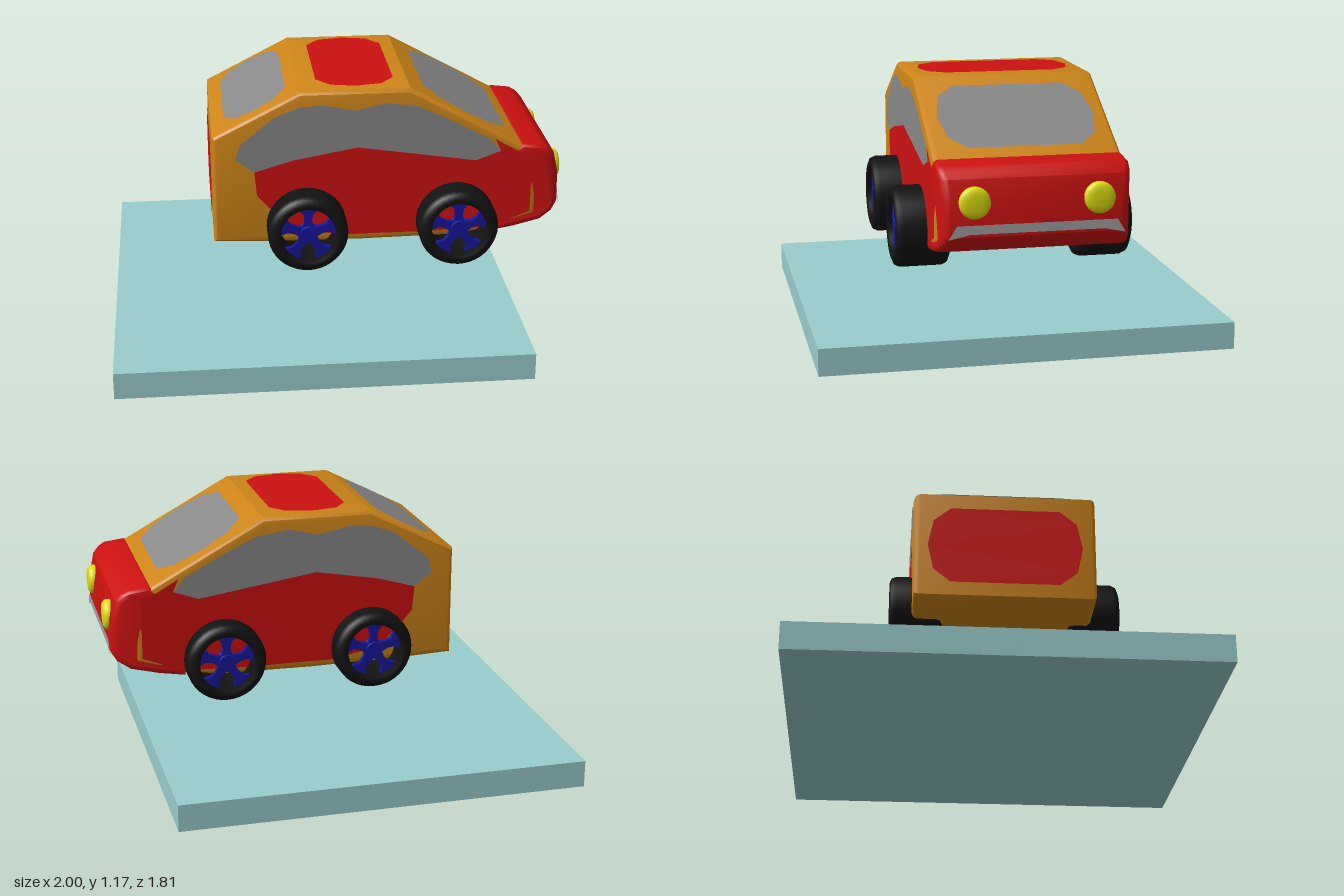
import * as THREE from 'three';
import { toCreasedNormals } from 'three/addons/utils/BufferGeometryUtils.js';

const MID = 0.02; // z of the car's centre line
const mat = (color, side = THREE.FrontSide) => new THREE.MeshStandardMaterial({ color, side });
const ORANGE = mat(0xcc8418), RED = mat(0xcc1111), YELLOW = mat(0xdddd11);
const BLACK = mat(0x121212), BLUE = mat(0x16169a), SLAB = mat(0x99cccc);
const GLASS = mat(0x888888, THREE.DoubleSide), RED_PANEL = mat(0xcc1111, THREE.DoubleSide);
const CHROME = mat(0xa0a0a0, THREE.DoubleSide);

const toShape = pts => new THREE.Shape(pts.map(p => new THREE.Vector2(...p)));

function add(parent, name, geometry, material) {
  const mesh = new THREE.Mesh(geometry, material);
  mesh.name = name;
  parent.add(mesh);
  return mesh;
}

// Side profile extruded across the car, with rounded edges and a nose that narrows in plan
function shell(pts, width) {
  const b = 0.025;
  const geo = new THREE.ExtrudeGeometry(toShape(pts), {
    depth: width - 2 * b, bevelThickness: b, bevelSize: b, bevelOffset: -b, bevelSegments: 3
  });
  geo.translate(0, 0, b - width / 2);
  const p = geo.attributes.position;
  for (let i = 0; i < p.count; i++) {
    const t = Math.max(0, (p.getX(i) - 0.88) / 0.1);
    p.setZ(i, p.getZ(i) * (1 - 0.07 * t * t) + MID);
  }
  return toCreasedNormals(geo, 0.5);
}

// Thin panel: a flat outline laid on the body by place(u, v) -> [x, y, z]
function panel(pts, place) {
  const geo = new THREE.ShapeGeometry(toShape(pts));
  const p = geo.attributes.position;
  for (let i = 0; i < p.count; i++) p.setXYZ(i, ...place(p.getX(i), p.getY(i)));
  geo.computeVertexNormals();
  return geo;
}

// Outline with cut corners: u runs 0..1 along the body, v is the offset from the centre line
const CUT = [[0, -0.24], [0.17, -0.315], [0.5, -0.34], [0.83, -0.315], [1, -0.24],
  [1, 0.24], [0.83, 0.315], [0.5, 0.34], [0.17, 0.315], [0, 0.24]];

// Cut-corner panel from profile point a to b, lifted off the surface
function topPanel([ax, ay], [bx, by]) {
  const len = Math.hypot(bx - ax, by - ay), lift = 0.005;
  const nx = -(by - ay) / len * lift, ny = (bx - ax) / len * lift;
  return panel(CUT, (u, v) => [ax + (bx - ax) * u + nx, ay + (by - ay) * u + ny, MID + v]);
}

function makeWheel() {
  const wheel = new THREE.Group();
  // Tyre: hollow rounded ring
  const R = 0.175, r = 0.12, h = 0.1175;
  const profile = [[r, -h + 0.01], [r + 0.01, -h], [R - 0.03, -h], [R - 0.009, -h + 0.009], [R, -h + 0.03],
    [R, h - 0.03], [R - 0.009, h - 0.009], [R - 0.03, h], [r + 0.01, h], [r, h - 0.01], [r, -h + 0.01]];
  const tyre = new THREE.LatheGeometry(profile.map(p => new THREE.Vector2(...p)), 40);
  add(wheel, 'tyre', tyre.rotateX(Math.PI / 2), BLACK);
  // Five spokes, flared at hub and rim
  const spoke = new THREE.ExtrudeGeometry(toShape([[-0.026, 0.02], [0.026, 0.02], [0.016, 0.06], [0.02, 0.09],
    [0.042, 0.114], [0, 0.122], [-0.042, 0.114], [-0.02, 0.09], [-0.016, 0.06]]),
  { depth: 0.025, bevelEnabled: false });
  spoke.translate(0, 0, 0.07);
  for (let i = 0; i < 5; i++) add(wheel, 'spoke', spoke, BLUE).rotation.z = i * Math.PI * 0.4;
  // Hub
  const hub = new THREE.CylinderGeometry(0.035, 0.045, 0.04, 24).rotateX(Math.PI / 2);
  add(wheel, 'hub', hub, BLUE).position.z = 0.085;
  return wheel;
}

export function createModel() {
  const model = new THREE.Group();
  const car = new THREE.Group();
  car.name = 'car';
  model.add(car);

  // Base slab
  add(model, 'baseSlab', new THREE.BoxGeometry(1.8, 0.12, 1.81), SLAB).position.set(-0.1, 0.06, 0);

  // Cabin shell and front nose
  add(car, 'bodyShell', shell([[-0.55, 0.48], [-0.3, 0.47], [0.1, 0.465], [0.5, 0.47], [0.72, 0.5], [0.88, 0.56],
    [0.88, 0.85], [0.81, 0.89], [0.31, 1.165], [-0.17, 1.165], [-0.55, 0.97]], 0.8), ORANGE);
  add(car, 'nose', shell([[0.66, 0.48], [0.78, 0.5], [0.9, 0.53], [0.955, 0.565], [0.98, 0.605], [0.978, 0.74],
    [0.955, 0.84], [0.93, 0.868], [0.9, 0.885], [0.81, 0.896], [0.66, 0.8]], 0.808), RED);

  // Roof, glass and tail panels
  add(car, 'roofPanel', topPanel([-0.09, 1.165], [0.25, 1.165]), RED_PANEL);
  add(car, 'windshield', topPanel([0.38, 1.1265], [0.75, 0.923]), GLASS);
  add(car, 'rearWindow', topPanel([-0.49, 1.001], [-0.22, 1.139]), GLASS);
  add(car, 'tailPanel', topPanel([-0.55, 0.54], [-0.55, 0.9]), RED_PANEL);

  // Doors and side windows, mirrored
  const door = [[-0.37, 0.81], [-0.2, 0.86], [0.08, 0.91], [0.6, 0.83], [0.71, 0.87], [0.685, 0.925], [0.8, 0.86],
    [0.85, 0.85], [0.85, 0.58], [0.68, 0.51], [0.4, 0.5], [0, 0.5], [-0.2, 0.54], [-0.29, 0.62], [-0.36, 0.7]];
  const glass = [[-0.45, 0.87], [-0.43, 0.94], [-0.28, 1.06], [-0.18, 1.1], [-0.08, 1.11], [0.07, 1.08], [0.2, 1.11],
    [0.34, 1.09], [0.45, 1.04], [0.66, 0.93], [0.71, 0.87], [0.6, 0.83], [0.08, 0.91], [-0.2, 0.86], [-0.37, 0.81]];
  for (const s of [1, -1]) {
    const place = (u, v) => [u, v, MID + s * 0.405];
    add(car, 'doorPanel', panel(door, place), RED_PANEL);
    add(car, 'sideWindow', panel(glass, place), GLASS);
  }

  // Front bumper strip
  add(car, 'bumperStrip', panel([[-0.37, 0.598], [-0.28, 0.617], [0.28, 0.617], [0.37, 0.598], [0.335, 0.655],
    [-0.335, 0.655]], (u, v) => [0.985, v, MID + u]), CHROME);

  // Headlights: rounded discs facing +x
  const lamp = new THREE.LatheGeometry([[0.064, -0.04], [0.067, 0], [0.064, 0.014], [0.052, 0.024], [0.03, 0.027],
    [0, 0.028]].map(p => new THREE.Vector2(...p)), 32).rotateZ(-Math.PI / 2);
  for (const s of [1, -1]) add(car, 'headlight', lamp, YELLOW).position.set(0.972, 0.745, MID + s * 0.26);

  // Wheels
  for (const [x, z, name] of [[0.515, 0.435, 'frontWheel'], [-0.145, 0.435, 'rearWheel'],
    [0.495, -0.363, 'frontWheel'], [-0.165, -0.363, 'rearWheel']]) {
    const wheel = makeWheel();
    wheel.name = name;
    wheel.position.set(x, 0.555, z);
    if (z < 0) wheel.rotation.y = Math.PI;
    car.add(wheel);
  }
  return model;
}
